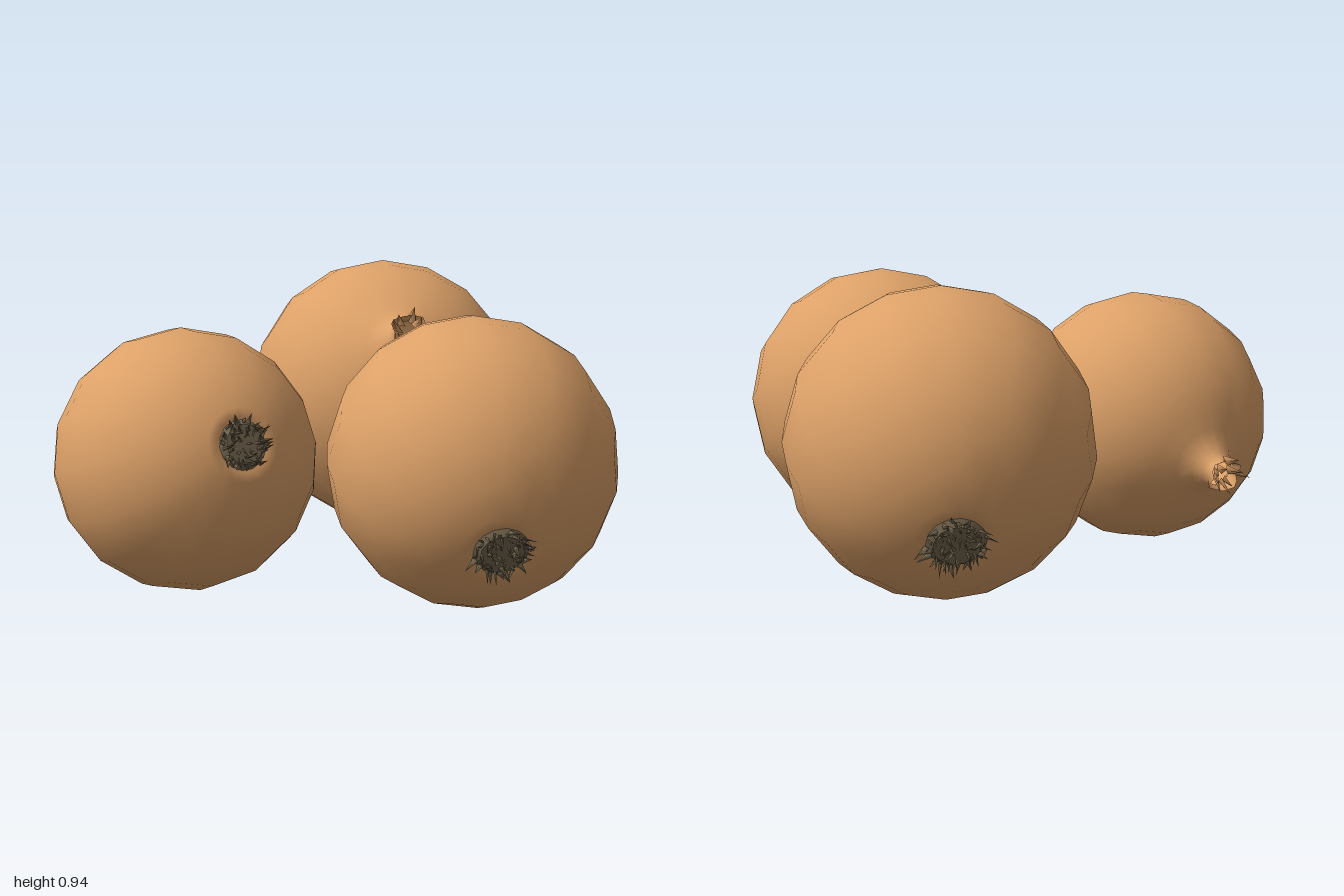
import * as THREE from 'three';
import { mergeGeometries } from 'three/addons/utils/BufferGeometryUtils.js';

const UP = new THREE.Vector3(0, 1, 0);

// Small seeded generator for the ragged ends
function seeded(seed) {
  let s = seed;
  return () => (s = (s * 16807) % 2147483647) / 2147483647;
}

// Round bulb drawn out into a short neck; unit radius, axis along y
function skinGeometry() {
  const pts = [[0, -0.95], [0.13, -0.95], [0.21, -0.965]];
  for (let i = 0; i <= 11; i++) {
    const a = THREE.MathUtils.lerp(-1.29, 1.13, i / 11);
    pts.push([1.01 * Math.cos(a), 1.01 * Math.sin(a)]);
  }
  pts.push([0.29, 0.965], [0.19, 1.03], [0.135, 1.1], [0.11, 1.16], [0.135, 1.22]);
  const geo = new THREE.LatheGeometry(pts.map(p => new THREE.Vector2(...p)), 16);
  // Crumple the neck towards its rim
  const pos = geo.attributes.position;
  for (let i = 0; i < pos.count; i++) {
    const x = pos.getX(i), y = pos.getY(i), z = pos.getZ(i);
    if (y < 1.05) continue;
    const a = Math.atan2(x, z), k = (y - 1.05) / 0.17;
    const swell = 1 + 0.16 * k * Math.sin(4 * a + 1);
    pos.setXYZ(i, x * swell, y + 0.03 * k * Math.sin(5 * a), z * swell);
  }
  return geo;
}

// Thin blade from a base point along a direction
function blade(base, dir, length, width) {
  const g = new THREE.ConeGeometry(width, length, 4, 1);
  g.scale(1, 1, 0.4);
  g.translate(0, length / 2, 0);
  g.applyQuaternion(new THREE.Quaternion().setFromUnitVectors(UP, dir.clone().normalize()));
  g.translate(base.x, base.y, base.z);
  return g;
}

// Torn papery ends around the neck rim
function neckTuft(rand) {
  const parts = [];
  for (let i = 0; i < 9; i++) {
    const a = i / 9 * Math.PI * 2 + rand() * 0.4, r = 0.04 + 0.08 * rand();
    const base = new THREE.Vector3(r * Math.sin(a), 1.16, r * Math.cos(a));
    const dir = new THREE.Vector3(Math.sin(a) * 0.5, 1, Math.cos(a) * 0.5);
    parts.push(blade(base, dir, 0.09 + 0.07 * rand(), 0.045));
  }
  return mergeGeometries(parts);
}

// Dry root plate with a mat of short tangled strands
function rootTuft(rand) {
  const plate = new THREE.CylinderGeometry(0.2, 0.15, 0.05, 14);
  plate.translate(0, -0.975, 0);
  const parts = [plate];
  for (let i = 0; i < 70; i++) {
    const a = i * 2.4, r = 0.185 * Math.sqrt((i + 0.5) / 70);
    const base = new THREE.Vector3(r * Math.sin(a), -0.98, r * Math.cos(a));
    const dir = new THREE.Vector3(
      Math.sin(a) * 0.4 + (rand() - 0.5) * 2, -0.6 - 0.5 * rand(),
      Math.cos(a) * 0.4 + (rand() - 0.5) * 2);
    parts.push(blade(base, dir, 0.06 + 0.06 * rand(), 0.022));
  }
  return mergeGeometries(parts);
}

export function createModel() {
  const skinMat = new THREE.MeshStandardMaterial({ color: 0xdda168, side: THREE.DoubleSide });
  skinMat.name = 'onion skin';
  const rootMat = new THREE.MeshStandardMaterial({ color: 0x75674f, side: THREE.DoubleSide });
  rootMat.name = 'dry root';

  const model = new THREE.Group();
  model.name = 'onions';
  const skin = skinGeometry();

  // Name, centre, radius and neck direction of each onion
  const onions = [
    ['backOnion', [-0.42, 0.48, -0.545], 0.455, [0.35, 0.28, 0.35]],
    ['leftOnion', [0.44, 0.445, 0.23], 0.44, [-0.37, 0.26, -0.37]],
    ['frontOnion', [-0.385, 0.42, 0.59], 0.405, [-0.46, -0.14, -0.2]],
  ];
  onions.forEach(([name, centre, radius, neck], i) => {
    const rand = seeded(101 + i * 977);
    const onion = new THREE.Group();
    onion.name = name;
    const add = (part, geo, mat) => {
      const mesh = new THREE.Mesh(geo, mat);
      mesh.name = part;
      onion.add(mesh);
    };
    add('bulb', skin, skinMat);
    add('neckTuft', neckTuft(rand), skinMat);
    add('rootTuft', rootTuft(rand), rootMat);
    onion.position.set(...centre);
    onion.scale.setScalar(radius);
    onion.quaternion.setFromUnitVectors(UP, new THREE.Vector3(...neck).normalize());
    model.add(onion);
  });
  return model;
}
